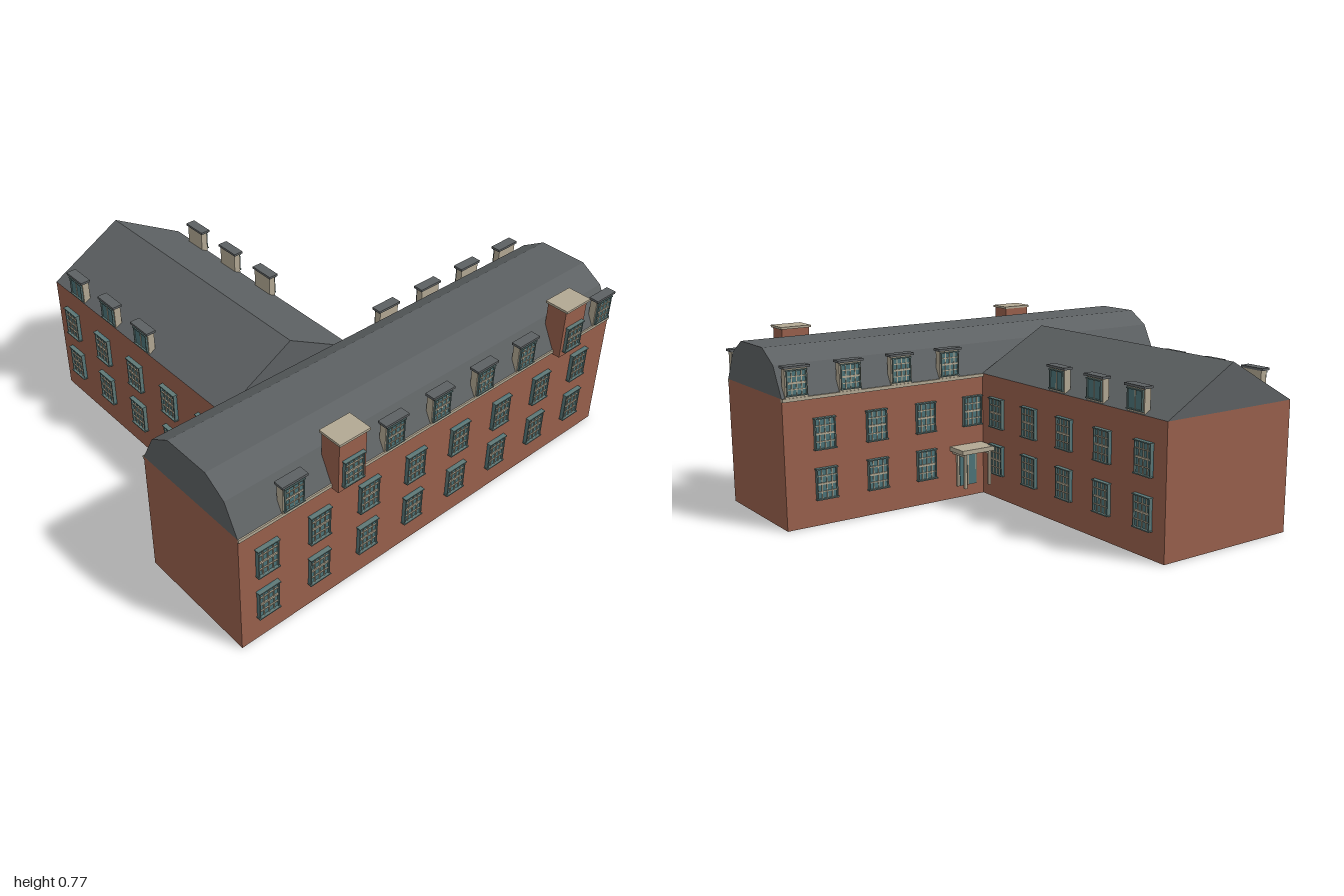
import * as THREE from 'three';

const material = (name, color) => {
  const m = new THREE.MeshStandardMaterial({ color });
  m.name = name;
  return m;
};

export function createModel() {
  const brick = material('brick', 0x98604c);
  const slate = material('slate', 0x5d6163);
  const stone = material('stone', 0xb2a893);
  const glass = material('glass', 0x4c7378);
  const trim = material('trim', 0x5f7876);

  const model = new THREE.Group();
  model.name = 'building';

  // Box given by its lower and upper corners
  function box(parent, name, mat, [x0, y0, z0], [x1, y1, z1]) {
    const mesh = new THREE.Mesh(new THREE.BoxGeometry(x1 - x0, y1 - y0, z1 - z0), mat);
    mesh.position.set((x0 + x1) / 2, (y0 + y1) / 2, (z0 + z1) / 2);
    mesh.name = name;
    parent.add(mesh);
    return mesh;
  }

  function prism(points, depth) {
    const shape = new THREE.Shape(points.map(([x, y]) => new THREE.Vector2(x, y)));
    return new THREE.ExtrudeGeometry(shape, { depth, bevelEnabled: false });
  }

  function addMesh(name, geometry, mat) {
    const mesh = new THREE.Mesh(geometry, mat);
    mesh.name = name;
    model.add(mesh);
  }

  // Multi-pane window centred on its origin, facing +z
  function makeWindow(w, h, columns = 4, rows = 4) {
    const g = new THREE.Group();
    g.name = 'window';
    const a = w / 2, b = h / 2, f = 0.005;
    box(g, 'windowGlass', glass, [-a, -b, -0.005], [a, b, 0.008]);
    for (const s of [-1, 1]) {
      const x = s * (a - f / 2), y = s * (b - f / 2);
      box(g, 'windowJamb', trim, [x - f / 2, -b, 0], [x + f / 2, b, 0.016]);
      box(g, s > 0 ? 'windowLintel' : 'windowSill', trim,
        [-a - 0.003, y - f / 2, 0], [a + 0.003, y + f / 2, 0.02]);
    }
    // Glazing bars, with a heavier meeting rail
    for (let i = 1; i < columns; i++) {
      const x = -a + (w * i) / columns;
      box(g, 'glazingBar', stone, [x - 0.002, -b + f, 0.004], [x + 0.002, b - f, 0.012]);
    }
    for (let i = 1; i < rows; i++) {
      const y = -b + (h * i) / rows, t = i * 2 === rows ? 0.004 : 0.002;
      box(g, 'glazingRail', stone, [-a + f, y - t, 0.004], [a - f, y + t, 0.013]);
    }
    return g;
  }

  // Dormer standing on the eaves, facing +z
  function makeDormer(h, columns, rows) {
    const g = new THREE.Group();
    g.name = 'dormer';
    box(g, 'dormerBody', stone, [-0.05, 0, -0.028], [0.05, h, 0.002]);
    box(g, 'dormerRoof', slate, [-0.058, h, -0.032], [0.058, h + 0.01, 0.012]);
    const win = makeWindow(0.088, h - 0.014, columns, rows);
    win.position.set(0, h / 2 + 0.001, 0);
    win.scale.z = 0.6;
    g.add(win);
    return g;
  }

  function place(object, x, y, z, turn = 0) {
    object.position.set(x, y, z);
    object.rotation.y = turn;
    model.add(object);
  }

  const EAVE = 0.555, RIDGE = 0.743;
  const FRONT = 0.85, BACK = 0.303, END = -0.905;
  const WEST = -0.635, EAST = 0.03;
  const STEP = 0.2425, FLOORS = [0.18, 0.393];

  // Walls
  box(model, 'mainWalls', brick, [-1, 0, BACK], [1, EAVE, FRONT]);
  box(model, 'wingWalls', brick, [WEST, 0, END], [EAST, EAVE, BACK]);

  // Curbed main roof, running along x
  const mainRoof = prism([
    [-FRONT, EAVE], [-0.784, 0.682], [-0.685, RIDGE],
    [-0.47, RIDGE], [-0.37, 0.682], [-BACK, EAVE],
  ].reverse(), 2);
  mainRoof.rotateY(Math.PI / 2).translate(-1, 0, 0);
  addMesh('mainRoof', mainRoof, slate);

  // Gabled wing roof, running along z
  const wingRoof = prism([[WEST, EAVE], [EAST, EAVE], [(WEST + EAST) / 2, RIDGE]], BACK - END);
  wingRoof.translate(0, 0, END);
  addMesh('wingRoof', wingRoof, slate);

  // Cornices under the main eaves
  box(model, 'frontCornice', stone, [-1, 0.541, FRONT - 0.01], [1, EAVE, FRONT + 0.006]);
  box(model, 'backCornice', stone, [-1, 0.541, BACK - 0.008], [WEST, EAVE, BACK + 0.01]);
  box(model, 'backCornice', stone, [EAST, 0.541, BACK - 0.008], [1, EAVE, BACK + 0.01]);

  // Front windows, dormers and chimneys
  for (let i = 0; i < 8; i++) {
    for (const y of FLOORS) place(makeWindow(0.094, 0.135), -0.88 + STEP * i, y, FRONT);
    const x = -0.758 + STEP * i;
    if (i === 1 || i === 6) {
      box(model, 'chimney', brick, [x - 0.065, 0.535, 0.797], [x + 0.065, 0.76, 0.888]);
      box(model, 'chimneyCap', stone, [x - 0.072, 0.758, 0.79], [x + 0.072, 0.768, 0.898]);
      place(makeWindow(0.094, 0.118), x, 0.617, 0.885);
    } else {
      place(makeDormer(0.122, 4, 4), x, EAVE, 0.853);
    }
  }

  // Back windows and dormers of the main block
  for (let i = 0; i < 4; i++) {
    const x = 0.092 + STEP * i;
    FLOORS.forEach((y, floor) => {
      if (i > 0 || floor > 0) place(makeWindow(0.094, 0.135), x, y, BACK, Math.PI);
    });
    place(makeDormer(0.122, 4, 4), 0.208 + STEP * i, EAVE, 0.3, Math.PI);
  }

  // Wing windows and dormers, on both long sides
  for (const [x, turn, s] of [[EAST, Math.PI / 2, 1], [WEST, -Math.PI / 2, -1]]) {
    for (let i = 0; i < 5; i++) {
      for (const y of FLOORS) place(makeWindow(0.094, 0.135), x, y, 0.184 - STEP * i, turn);
    }
    for (let i = 0; i < 3; i++) {
      place(makeDormer(0.098, 2, 1), x - s * 0.004, EAVE + 0.003, -0.24 - STEP * i, turn);
    }
  }

  // Porch and door in the inner corner
  box(model, 'porchRoof', stone, [0.04, 0.222, 0.197], [0.208, 0.242, BACK]);
  for (const x of [0.06, 0.188]) {
    box(model, 'porchPost', stone, [x - 0.006, 0.065, 0.205], [x + 0.006, 0.222, 0.217]);
    box(model, 'porchBeam', stone, [x - 0.006, 0.208, 0.205], [x + 0.006, 0.222, BACK]);
  }
  box(model, 'doorFrame', stone, [0.072, 0.055, BACK - 0.012], [0.176, 0.222, BACK]);
  box(model, 'door', glass, [0.082, 0.058, BACK - 0.016], [0.166, 0.212, BACK]);
  box(model, 'doorMullion', stone, [0.121, 0.058, BACK - 0.019], [0.127, 0.212, BACK]);

  return model;
}
